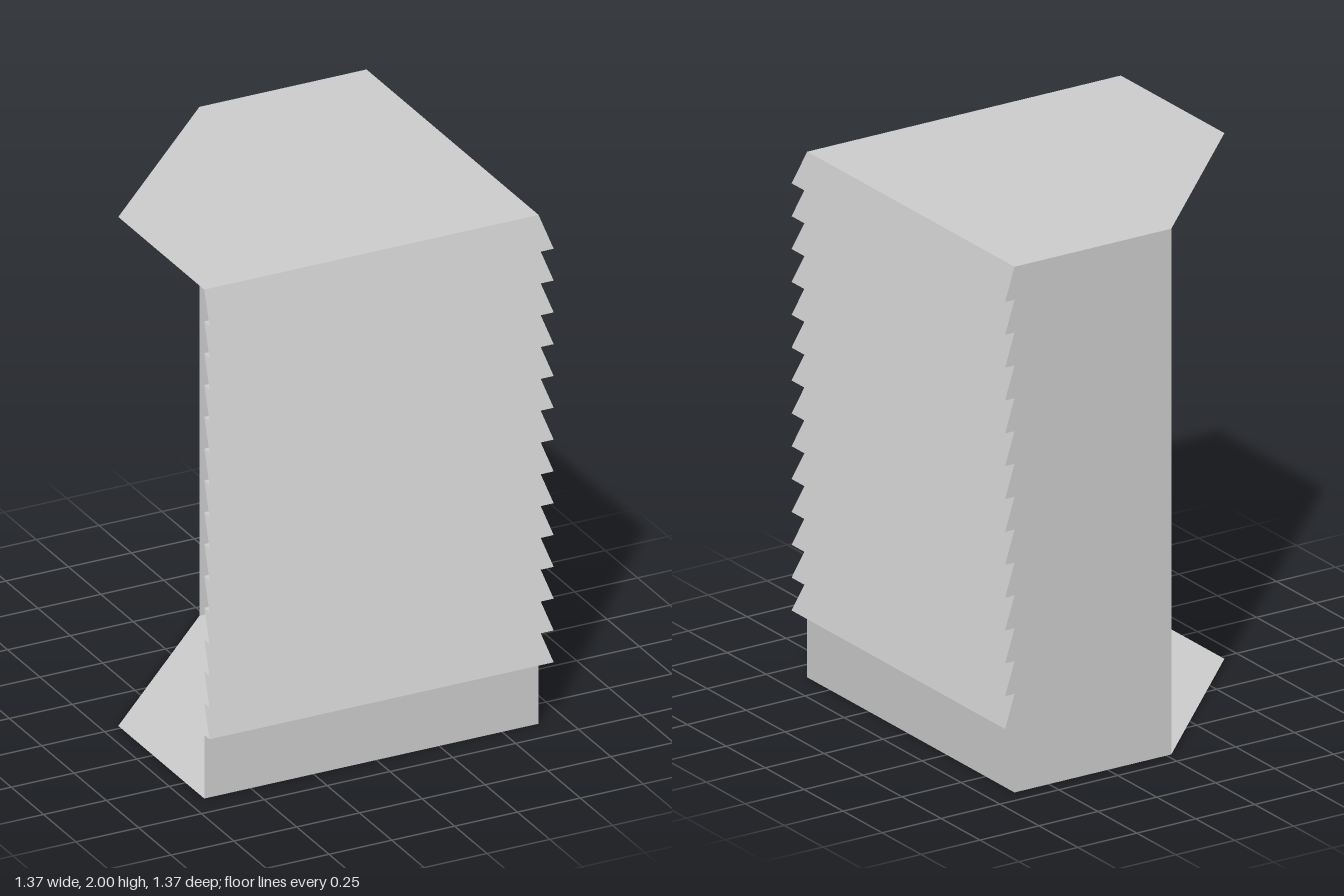
import * as THREE from 'three';

const BACK = -0.685;   // flat rear and open right limits
const WALL = 0.645;    // wall plane
const LIP = 0.685;     // outer edge of each slat
const CUT = -0.02;     // where the diagonal corner cut begins
const BASE = 0.25, TOP = 2, SLATS = 14;

const material = new THREE.MeshStandardMaterial({
  color: 0xcccccc, side: THREE.DoubleSide, flatShading: true,
});

// A band that runs along the front and round the mitred corner to the side,
// from offset r0 at height y0 up to offset r1 at height y1
function cornerBand(name, r0, y0, r1, y1) {
  const plan = (r) => [[BACK, r], [r, r], [r, BACK]];
  const low = plan(r0), high = plan(r1), positions = [];
  for (let i = 0; i < 2; i++) {
    const a = [low[i][0], y0, low[i][1]];
    const b = [low[i + 1][0], y0, low[i + 1][1]];
    const c = [high[i + 1][0], y1, high[i + 1][1]];
    const d = [high[i][0], y1, high[i][1]];
    positions.push(...a, ...b, ...c, ...a, ...c, ...d);
  }
  const geometry = new THREE.BufferGeometry();
  geometry.setAttribute('position', new THREE.Float32BufferAttribute(positions, 3));
  geometry.computeVertexNormals();
  const mesh = new THREE.Mesh(geometry, material);
  mesh.name = name;
  return mesh;
}

// Five-sided plate shared by floor and roof
function plate(name, y, facing) {
  const shape = new THREE.Shape([
    [BACK, -WALL], [WALL, -WALL], [WALL, -BACK], [CUT, -BACK], [BACK, -CUT],
  ].map(([x, d]) => new THREE.Vector2(x, d * facing)));
  const geometry = new THREE.ShapeGeometry(shape);
  geometry.rotateX(-facing * Math.PI / 2);
  const mesh = new THREE.Mesh(geometry, material);
  mesh.position.y = y;
  mesh.name = name;
  return mesh;
}

export function createModel() {
  const group = new THREE.Group();
  group.name = 'louveredCabinet';
  group.add(plate('floor', 0, -1), plate('roof', TOP, 1));

  // Plain plinth wall below the slats
  group.add(cornerBand('plinth', WALL, 0, WALL, BASE));

  // Overlapping slats: a horizontal underside and a sloping face
  const slats = new THREE.Group();
  slats.name = 'slats';
  const pitch = (TOP - BASE) / SLATS;
  const outline = [[CUT, 0], [WALL, 0]];
  for (let i = 0; i < SLATS; i++) {
    const y = BASE + i * pitch;
    slats.add(cornerBand('slatUnderside', WALL, y, LIP, y));
    slats.add(cornerBand('slatFace', LIP, y, WALL, y + pitch));
    outline.push([WALL, y], [LIP, y]);
  }
  outline.push([WALL, TOP], [CUT, TOP]);
  group.add(slats);

  // Back wall, its outer edge following the slat profile
  const backShape = new THREE.Shape(outline.map(([x, y]) => new THREE.Vector2(-x, y)));
  const backWall = new THREE.Mesh(new THREE.ShapeGeometry(backShape), material);
  backWall.rotation.y = Math.PI;
  backWall.position.z = BACK;
  backWall.name = 'backWall';
  group.add(backWall);
  return group;
}
